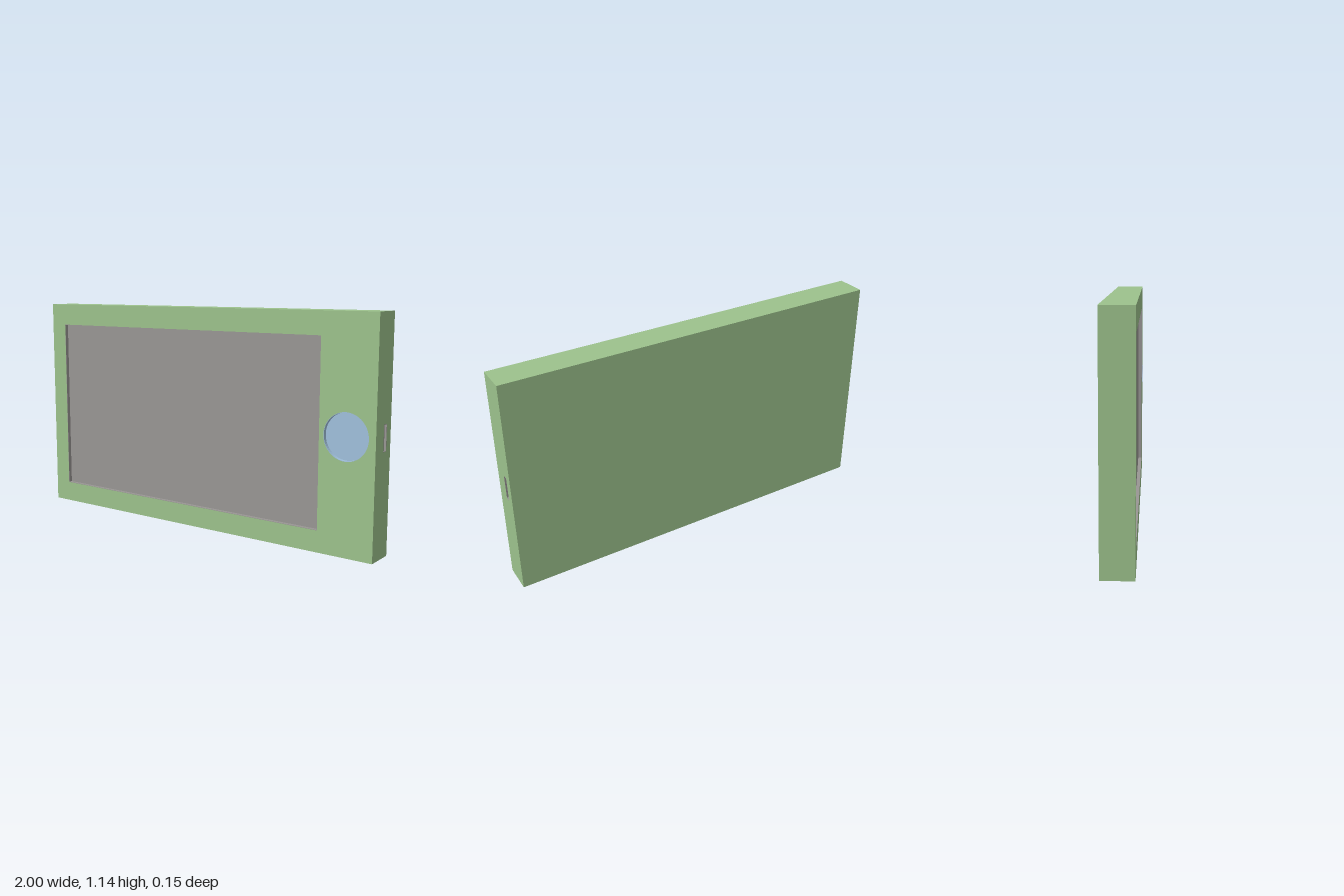
import * as THREE from 'three';

const material = (color) => new THREE.MeshStandardMaterial({ color });
const green = material(0x9cc28c);
const grey = material(0x999694);
const blue = material(0xa0c0dc);

// Body extents and recess depths
const BOTTOM = 0.012, TOP = 1.136, HALF_Z = 0.075;
const RECESS = 0.02, SLOT_DEPTH = 0.011, RIM = 0.002;

// Outlines take an inset so that liners can share them with the holes
const rect = (x0, y0, x1, y1) => (inset = 0) => new THREE.Shape([
  new THREE.Vector2(x0 + inset, y0 + inset), new THREE.Vector2(x1 - inset, y0 + inset),
  new THREE.Vector2(x1 - inset, y1 - inset), new THREE.Vector2(x0 + inset, y1 - inset),
]);
const disc = (x, y, r) => (inset = 0) =>
  new THREE.Shape().absarc(x, y, r - inset, 0, Math.PI * 2, false);

// Plate lying in x-y with holes cut through it
function plate(shape, holes, depth) {
  shape.holes.push(...holes);
  return new THREE.ExtrudeGeometry(shape, { depth, bevelEnabled: false, curveSegments: 32 });
}

function addMesh(parent, name, geometry, mat) {
  const mesh = new THREE.Mesh(geometry, mat);
  mesh.name = name;
  parent.add(mesh);
  return mesh;
}

// Sunken panel: coloured floor with a hairline liner up to the surface
function sunkenPanel(name, outline, depth, mat) {
  const group = new THREE.Group();
  group.name = name;
  addMesh(group, name + 'Liner', plate(outline(), [outline(RIM)], depth), mat);
  addMesh(group, name + 'Floor', plate(outline(), [], 0.001), mat);
  return group;
}

export function createModel() {
  const model = new THREE.Group();
  model.name = 'handheldDevice';

  const screen = rect(-0.906, 0.118, 0.717, 1.024);
  const button = disc(0.853, 0.575, 0.113);

  // Front frame with openings for the screen and the round button
  const faceZ = HALF_Z - RECESS;
  const frontOutline = rect(-1, BOTTOM, 1, TOP);
  addMesh(model, 'frontFrame', plate(frontOutline(), [screen(), button()], RECESS), green)
    .position.z = faceZ;

  // Main body behind the frame
  const width = 2 - SLOT_DEPTH, depth = faceZ + HALF_Z;
  addMesh(model, 'body', new THREE.BoxGeometry(width, TOP - BOTTOM, depth), green)
    .position.set(-SLOT_DEPTH / 2, (TOP + BOTTOM) / 2, (faceZ - HALF_Z) / 2);

  // Sunken screen and button
  for (const [name, outline, mat] of [['screen', screen, grey], ['homeButton', button, blue]]) {
    const panel = sunkenPanel(name, outline, RECESS, mat);
    panel.position.z = faceZ;
    model.add(panel);
  }

  // Left end plate with its slot, drawn in (-z, y) and turned to face +x
  const slot = rect(0.003, 0.51, 0.033, 0.636);
  const endOutline = rect(-faceZ, BOTTOM, HALF_Z, TOP);
  const end = new THREE.Group();
  end.name = 'endPlate';
  addMesh(end, 'endFrame', plate(endOutline(), [slot()], SLOT_DEPTH), green);
  end.add(sunkenPanel('sideSlot', slot, SLOT_DEPTH, grey));
  end.rotation.y = Math.PI / 2;
  end.position.x = 1 - SLOT_DEPTH;
  model.add(end);

  // Raised connector pad under the body
  addMesh(model, 'bottomConnector', new THREE.BoxGeometry(0.38, BOTTOM, 0.076), blue)
    .position.set(-0.54, BOTTOM / 2, 0.001);

  return model;
}
